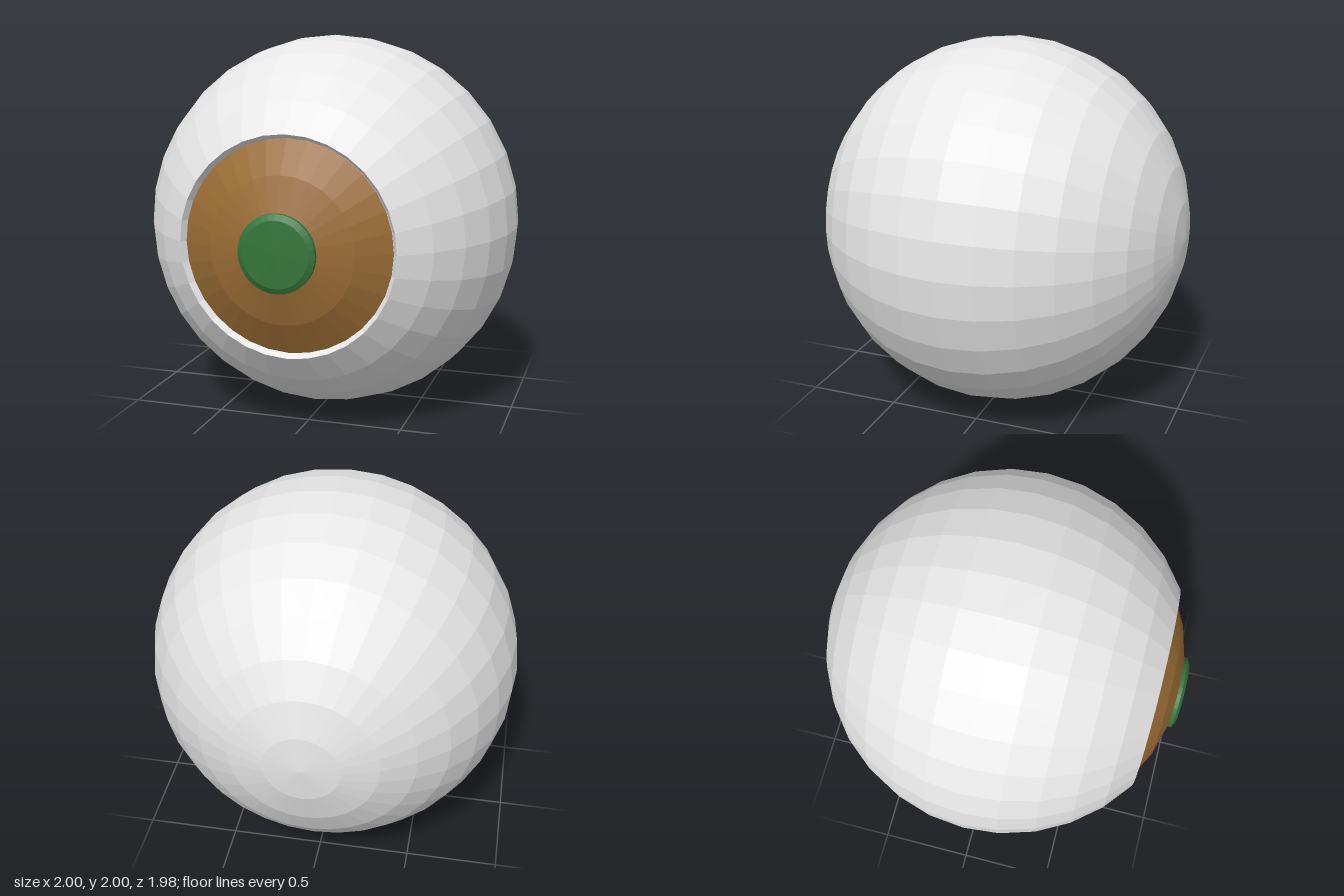
import * as THREE from 'three';

const SEGMENTS = 32;
const STEP = Math.PI / 16;

// Faceted solid of revolution about the z axis; profile is [radius, z], back to front
function turned(name, profile, material) {
  const points = profile.map(([r, z]) => new THREE.Vector2(r, z));
  const geometry = new THREE.LatheGeometry(points, SEGMENTS);
  geometry.rotateX(Math.PI / 2);
  const mesh = new THREE.Mesh(geometry, material);
  mesh.name = name;
  return mesh;
}

function flat(name, color) {
  const material = new THREE.MeshStandardMaterial({ color, flatShading: true, side: THREE.DoubleSide });
  material.name = name;
  return material;
}

export function createModel() {
  const white = flat('eyeWhite', 0xe7e7e7);
  const brown = flat('irisBrown', 0x9a6c34);
  const green = flat('pupilGreen', 0x34763a);

  const eye = new THREE.Group();
  eye.name = 'eyeball';

  // Outer ball, open at the front, with a thin rim turned inward
  const ball = [];
  for (let i = 0; i <= 13; i++) {
    ball.push([Math.sin(i * STEP), -Math.cos(i * STEP)]);
  }
  ball.push([0.534, 0.798]);
  eye.add(turned('eyeWhite', ball, white));

  // Iris dome, set just inside the rim
  eye.add(turned('iris', [[0.534, 0.802], [0.368, 0.893], [0.188, 0.946], [0, 0.962]], brown));

  // Raised pupil with a bevelled edge
  eye.add(turned('pupil', [[0.195, 0.935], [0.195, 0.964], [0.166, 0.98], [0, 0.984]], green));

  // Centre in depth and stand on the ground
  eye.position.set(0, 1, 0.008);
  const model = new THREE.Group();
  model.name = 'eyeModel';
  model.add(eye);
  return model;
}
